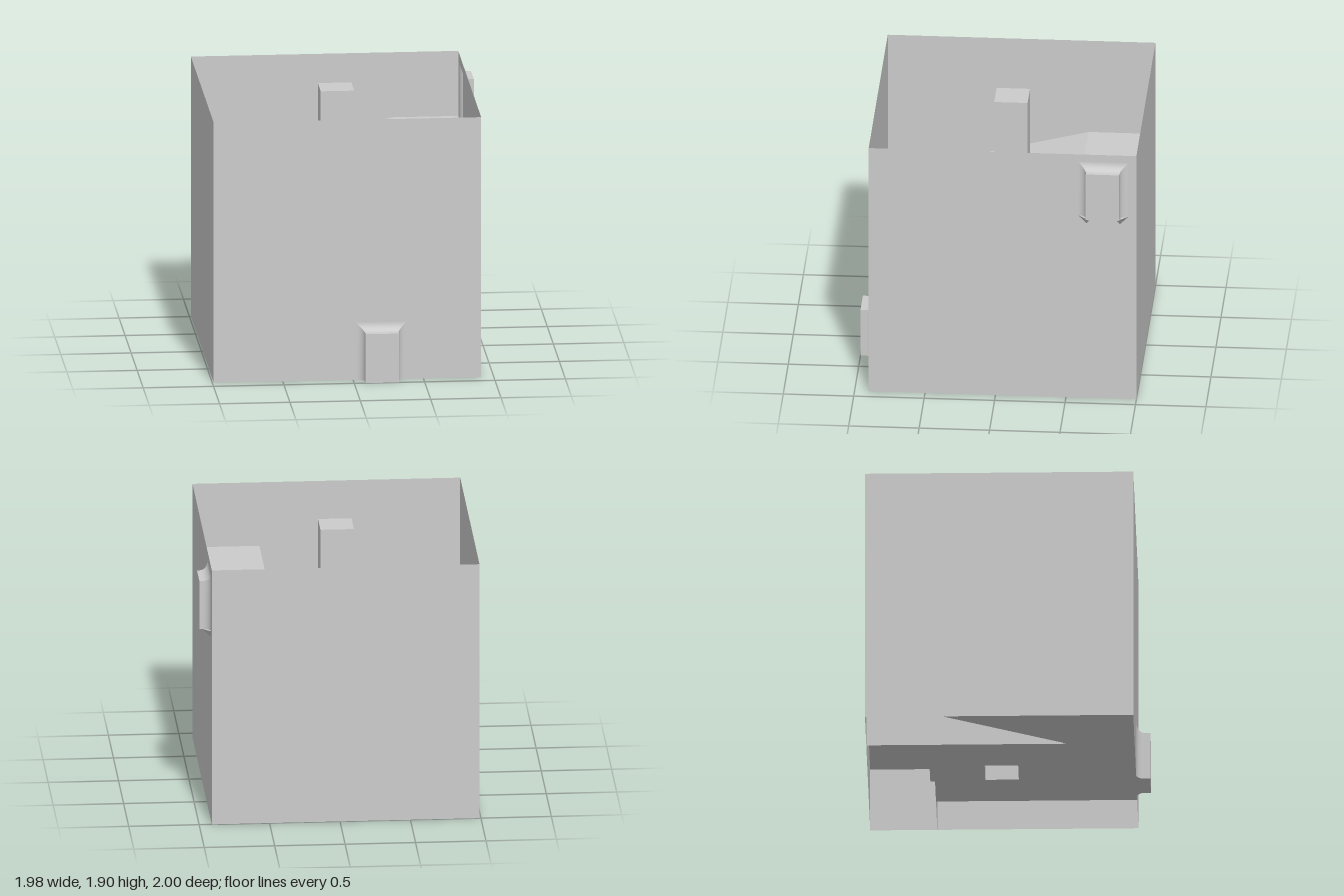
import * as THREE from 'three';

const S = 0.95;          // half width of the tower
const I = S / 2;         // half width of the inner shaft
const R = S / 4;         // rise of one ramp
const C = S / 8;         // half width of column and doorways
const FLARE = 0.06;      // radius of the doorway flare
const DOOR = 0.357;      // doorway height

const mat = new THREE.MeshStandardMaterial({ color: 0xcccccc, side: THREE.DoubleSide });

function add(parent, name, geo, turn = 0) {
  const mesh = new THREE.Mesh(geo, mat);
  mesh.name = name;
  mesh.rotation.y = turn;
  parent.add(mesh);
  return mesh;
}

// Sheet stretched between rows of points of equal length
function sheet(rows) {
  const pos = [], index = [], n = rows[0].length;
  rows.forEach(row => row.forEach(p => pos.push(...p)));
  for (let i = 0; i < rows.length - 1; i++) {
    for (let j = 0; j < n - 1; j++) {
      const a = i * n + j, b = a + n;
      index.push(a, b, a + 1, b, b + 1, a + 1);
    }
  }
  const geo = new THREE.BufferGeometry();
  geo.setAttribute('position', new THREE.Float32BufferAttribute(pos, 3));
  geo.setIndex(index);
  const flat = geo.toNonIndexed();
  if (n > 2 && rows.length === 2) { geo.computeVertexNormals(); return geo; }
  flat.computeVertexNormals();
  return flat;
}

const shapeOf = pts => new THREE.Shape(pts.map(([x, y]) => new THREE.Vector2(x, y)));

// Shape lying flat, given in x and z
const flatShape = shape => new THREE.ShapeGeometry(shape).rotateX(Math.PI / 2);

// Flared doorway standing out from a wall that faces +z
function makePortal(name, depth) {
  const g = new THREE.Group();
  g.name = name;
  const profile = [];
  for (let i = 0; i <= 8; i++) {
    const a = i / 8 * Math.PI / 2;
    profile.push([FLARE * (1 - Math.sin(a)), FLARE * (1 - Math.cos(a))]);
  }
  profile.push([0, depth]);
  const corner = (sx, top) => profile.map(([o, d]) => [sx * (C + o), top ? DOOR + o : 0, d]);
  const path = [corner(1, 0), corner(1, 1), corner(-1, 1), corner(-1, 0)];
  ['leftJamb', 'lintel', 'rightJamb'].forEach((part, i) =>
    add(g, part, sheet([path[i], path[i + 1]])));
  // Closed door face and threshold
  add(g, 'door', new THREE.PlaneGeometry(2 * C, DOOR).translate(0, DOOR / 2, depth));
  const outline = [...profile.map(([o, d]) => [C + o, d]),
    ...profile.slice().reverse().map(([o, d]) => [-C - o, d])];
  add(g, 'threshold', flatShape(shapeOf(outline)));
  return g;
}

export function createModel() {
  const root = new THREE.Group();
  const tower = new THREE.Group();
  tower.name = 'tower';
  tower.position.set(-0.04, 0, -0.05);
  root.add(tower);

  const exitX = 0.715, entryX = 0.24, W = C + FLARE, T = DOOR + FLARE;

  // Outer walls: two plain, one with the entry notch, one with the exit opening
  const square = [[-S, 0], [S, 0], [S, 2 * S], [-S, 2 * S]];
  const entryOutline = [[-S, 0], [entryX - W, 0], [entryX - W, T], [entryX + W, T],
    [entryX + W, 0], ...square.slice(1)];
  const exitShape = shapeOf(square);
  exitShape.holes.push(shapeOf([[exitX - W, 6 * R], [exitX - W, 6 * R + T],
    [exitX + W, 6 * R + T], [exitX + W, 6 * R]]));
  [['frontWall', shapeOf(entryOutline)], ['leftWall', exitShape],
    ['backWall', shapeOf(square)], ['rightWall', shapeOf(square)]].forEach(([name, shape], i) =>
    add(tower, name, new THREE.ShapeGeometry(shape).translate(0, 0, S), i * Math.PI / 2));

  // Entry doorway
  const entry = makePortal('entryDoorway', 0.1);
  entry.position.set(entryX, 0, S);
  tower.add(entry);

  // Exit doorway on pointed corbels
  const exit = makePortal('exitDoorway', 0.08);
  for (const s of [-1, 1]) {
    const r = 0.06, x = s * C;
    const a = [x - r, 0, 0], b = [x + r, 0, 0], c = [x, 0, r], d = [x, -r, 0];
    add(exit, 'corbel', sheet([[a, d], [c, c], [b, d]]));
    add(exit, 'corbelTop', sheet([[a, c], [b, c]]));
  }
  exit.position.set(S, 6 * R, -exitX);
  exit.rotation.y = Math.PI / 2;
  tower.add(exit);

  // Ground floor with the hollow column's opening
  const floor = shapeOf([[I, -I], [I, S], [-S, S], [-S, I], [-I, I], [-I, -I]]);
  floor.holes.push(shapeOf([[-C, -C], [-C, C], [C, C], [C, -C]]));
  add(tower, 'floor', flatShape(floor));

  // Hollow central column
  for (let i = 0; i < 4; i++) {
    add(tower, 'columnSide',
      new THREE.PlaneGeometry(2 * C, 2 * S).translate(0, S, C), i * Math.PI / 2);
  }
  add(tower, 'columnTop',
    new THREE.PlaneGeometry(2 * C, 2 * C).rotateX(-Math.PI / 2).translate(0, 2 * S, 0));

  // Spiral of six ramps with landings, ending in a level gallery
  for (let k = 0; k < 7; k++) {
    const low = k * R, high = Math.min(k + 1, 6) * R;
    const row = (z, y) => [[-S, y, z], [-I, y, z]];
    add(tower, k < 6 ? 'ramp' : 'gallery',
      sheet([row(I, low), row(-I, high), row(-S, high)]), -k * Math.PI / 2);
  }

  // Shaft walls up to the highest walkway on each side
  [[4, 5], [5, 6], [6, 6], [3, 4]].forEach(([a, b], k) => {
    const turn = -k * Math.PI / 2;
    add(tower, 'shaftWall',
      sheet([[[-I, 0, I], [-I, a * R, I]], [[-I, 0, -I], [-I, b * R, -I]]]), turn);
    // Support wall below the landing
    if (k < 3) {
      const y = (k + 1) * R;
      add(tower, 'landingSupport',
        sheet([[[-I, 0, -I], [-I, y, -I]], [[-I, 0, -S], [-I, y, -S]]]), turn);
    }
  });

  // Sloping ledges on the shaft walls under the lower ramps
  for (const k of [1, 2]) {
    const d = I + 0.04;
    const ring = (z, n) => {
      const lo = n * R / 3, hi = n * R / 2;
      return [[-I, lo, z], [-d, lo, z], [-d, hi, z], [-I, hi, z]];
    };
    const p = ring(I, k), q = ring(-I, k + 1);
    const turn = -k * Math.PI / 2;
    for (let i = 0; i < 3; i++) {
      add(tower, 'ledge', sheet([[p[i], p[i + 1]], [q[i], q[i + 1]]]), turn);
    }
    for (const e of [p, q]) add(tower, 'ledgeEnd', sheet([[e[0], e[1]], [e[3], e[2]]]), turn);
  }

  return root;
}
